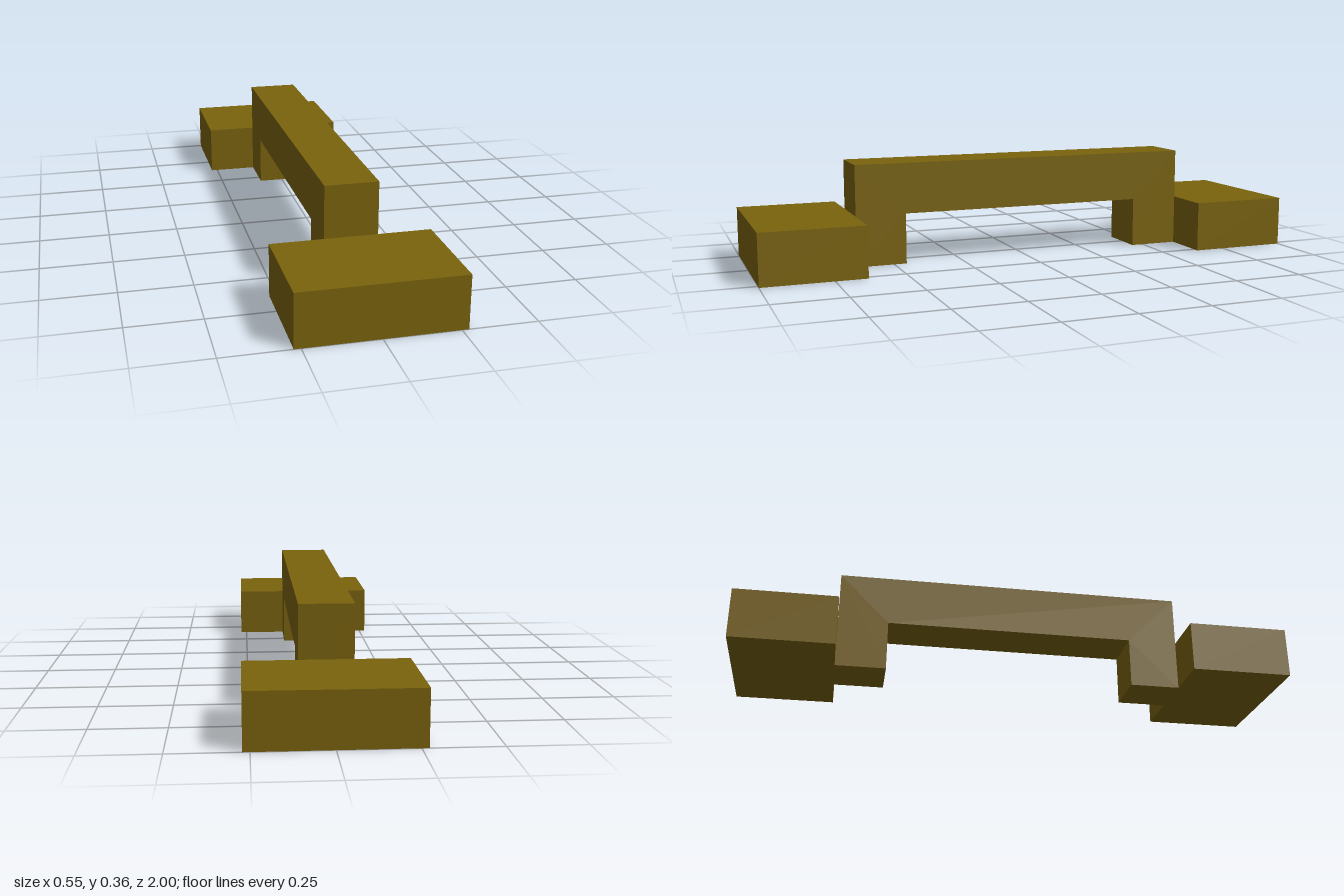
import * as THREE from 'three';

export function createModel() {
  const u = 2 / 11; // module size: every dimension is a multiple of it
  const bronze = new THREE.MeshStandardMaterial({ color: 0x7a630d });
  bronze.name = 'bronze';

  const group = new THREE.Group();
  group.name = 'pullHandle';

  // Arched grip: a square bar bent down into a leg at each end
  const profile = new THREE.Shape(
    [[-3.5, 0], [-2.5, 0], [-2.5, 1], [2.5, 1], [2.5, 0], [3.5, 0], [3.5, 2], [-3.5, 2]]
      .map(([z, y]) => new THREE.Vector2(z * u, y * u))
  );
  const gripGeometry = new THREE.ExtrudeGeometry(profile, { depth: u, bevelEnabled: false });
  gripGeometry.translate(0, 0, -u / 2).rotateY(-Math.PI / 2);
  const grip = new THREE.Mesh(gripGeometry, bronze);
  grip.name = 'grip';
  group.add(grip);

  // Mounting blocks beyond the front and back legs
  const blockGeometry = new THREE.BoxGeometry(3 * u, u, 2 * u);
  for (const [name, side] of [['frontMount', 1], ['backMount', -1]]) {
    const block = new THREE.Mesh(blockGeometry, bronze);
    block.name = name;
    block.position.set(0, u / 2, side * 4.5 * u);
    group.add(block);
  }

  return group;
}
